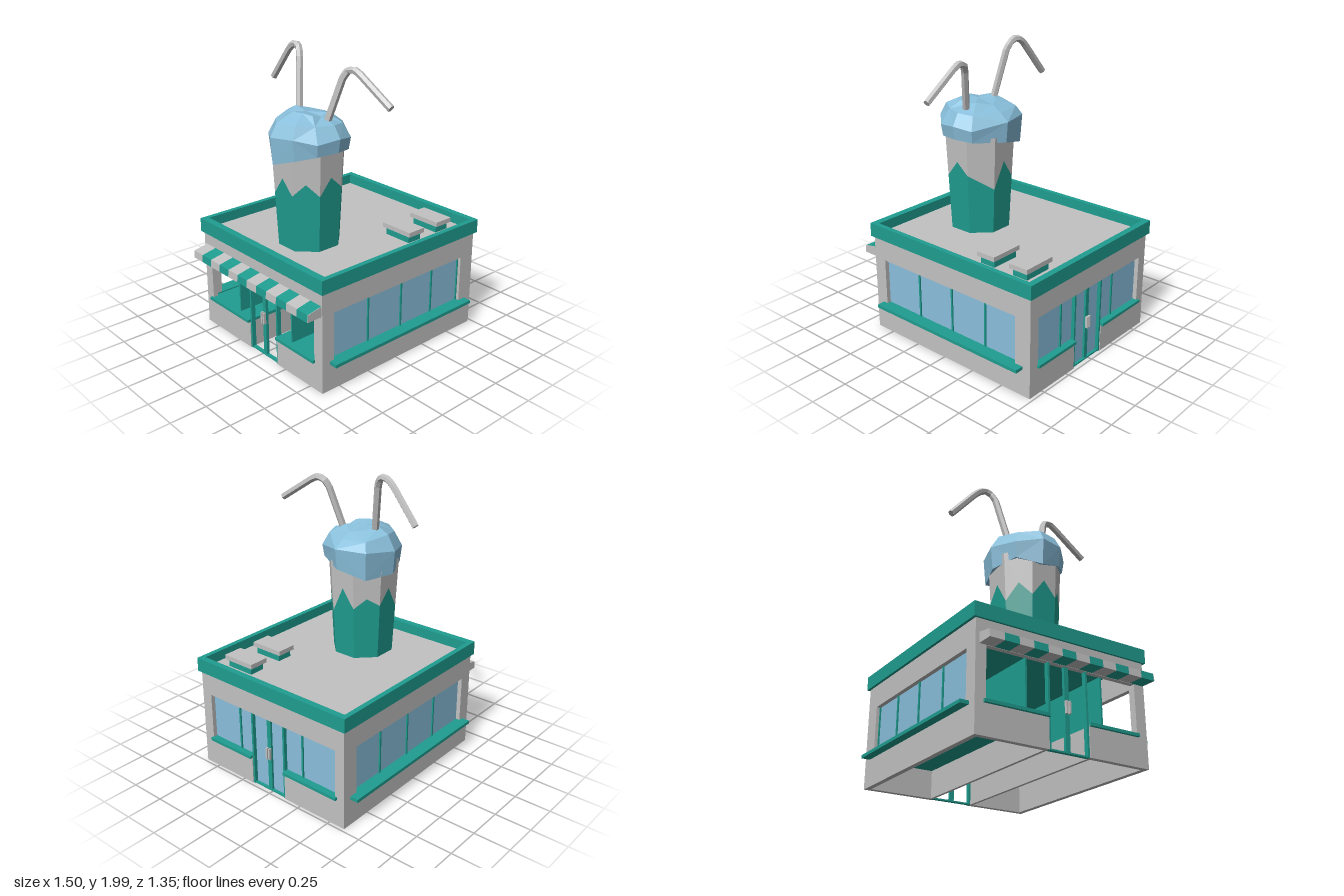
import * as THREE from 'three';

const mat = (name, color) => new THREE.MeshStandardMaterial({ name, color });

export function createModel() {
  const root = new THREE.Group();
  root.name = 'drinkStand';
  const grey = mat('grey', 0xc2c2c2);
  const teal = mat('teal', 0x1f9d90);
  const blue = mat('blue', 0x8ac0dc);
  for (const m of [grey, teal, blue]) m.flatShading = true;

  const add = (name, geo, material) => {
    const mesh = new THREE.Mesh(geo, material);
    mesh.name = name;
    root.add(mesh);
    return mesh;
  };
  // Box given by its limits on each axis
  const box = (name, material, x0, x1, y0, y1, z0, z1) => {
    const m = add(name, new THREE.BoxGeometry(x1 - x0, y1 - y0, z1 - z0), material);
    m.position.set((x0 + x1) / 2, (y0 + y1) / 2, (z0 + z1) / 2);
  };
  const shapeOf = (pts) => new THREE.Shape(pts.map(([x, y]) => new THREE.Vector2(x, y)));
  const extrude = (shape, depth) => new THREE.ExtrudeGeometry(shape, { depth, bevelEnabled: false });
  // Faceted skin over rings of points, lowest ring first, clockwise from above
  const loft = (rings) => {
    const p = [];
    for (let r = 0; r < rings.length - 1; r++) {
      const lo = rings[r], up = rings[r + 1], n = lo.length;
      for (let i = 0; i < n; i++) {
        const j = (i + 1) % n;
        if ((i + r) % 2) p.push(...lo[j], ...lo[i], ...up[i], ...lo[j], ...up[i], ...up[j]);
        else p.push(...lo[j], ...lo[i], ...up[j], ...lo[i], ...up[i], ...up[j]);
      }
    }
    const g = new THREE.BufferGeometry();
    g.setAttribute('position', new THREE.Float32BufferAttribute(p, 3));
    g.computeVertexNormals();
    return g;
  };

  // Front and back walls with a long window opening
  const longWall = shapeOf([[-0.64, 0], [0.728, 0], [0.728, 0.7], [-0.64, 0.7]]);
  longWall.holes.push(shapeOf([[-0.545, 0.2], [0.61, 0.2], [0.61, 0.533], [-0.545, 0.533]]));
  for (const s of [1, -1]) {
    const side = s > 0 ? 'front' : 'back';
    add(side + 'Wall', extrude(longWall, 0.035), grey).position.z = s > 0 ? 0.582 : -0.617;
    const glass = add(side + 'Glass', new THREE.PlaneGeometry(1.155, 0.335), blue);
    glass.position.set(0.0325, 0.3665, s * 0.587);
    if (s < 0) glass.rotation.y = Math.PI;
    for (const x of [-0.238, 0.057, 0.344, 0.607]) {
      box(side + 'Mullion', teal, x - 0.006, x + 0.006, 0.2, 0.533, s * 0.589 - 0.007, s * 0.589 + 0.007);
    }
    const z = [s * 0.58, s * 0.675].sort((a, b) => a - b);
    box(side + 'Ledge', teal, -0.58, 0.668, 0.185, 0.207, z[0], z[1]);
  }

  // Side walls with a doorway joined to the windows beside it
  const sideWall = shapeOf([[-0.582, 0], [-0.17, 0], [-0.17, 0.2], [-0.54, 0.2], [-0.54, 0.533], [0.545, 0.533],
    [0.545, 0.2], [0.12, 0.2], [0.12, 0], [0.582, 0], [0.582, 0.7], [-0.582, 0.7]]);
  const sideGlass = shapeOf([[-0.17, 0], [0.12, 0], [0.12, 0.2], [0.545, 0.2], [0.545, 0.533],
    [-0.54, 0.533], [-0.54, 0.2], [-0.17, 0.2]]);
  for (const s of [1, -1]) {
    const side = s > 0 ? 'left' : 'right';
    const face = s > 0 ? 0.728 : -0.64;
    const wall = add(side + 'Wall', extrude(sideWall, 0.035), grey);
    wall.rotation.y = Math.PI / 2;
    wall.position.x = s > 0 ? 0.693 : -0.64;
    // Bar whose depth runs from a to b outward of the wall face
    const bar = (name, m, a, b, y0, y1, z0, z1) =>
      box(side + name, m, Math.min(face + s * a, face + s * b), Math.max(face + s * a, face + s * b), y0, y1, z0, z1);
    for (const z of [0.163, -0.113]) bar('DoorPost', teal, -0.035, -0.005, 0, 0.533, z - 0.007, z + 0.007);
    bar('DoorCentre', teal, -0.035, -0.015, 0, 0.533, 0.006, 0.038);
    bar('DoorSill', teal, -0.035, -0.01, 0, 0.01, -0.12, 0.17);
    for (const z of [0.011, 0.033]) bar('DoorHandle', grey, -0.015, 0.004, 0.24, 0.32, z - 0.006, z + 0.006);
  }
  const glass = add('leftGlass', new THREE.ShapeGeometry(sideGlass), blue);
  glass.rotation.y = Math.PI / 2;
  glass.position.x = 0.698;

  // Sills, low passage walls and window dividers running right through the building
  for (const [z0, z1] of [[0.17, 0.547], [-0.562, -0.12]]) box('throughSill', teal, -0.658, 0.746, 0.19, 0.21, z0, z1);
  for (const z of [0.17, -0.14]) box('passageWall', grey, -0.61, 0.695, 0, 0.19, z, z + 0.02);
  for (const z of [0.29, -0.26]) box('throughMullion', teal, -0.615, 0.708, 0.2, 0.533, z - 0.006, z + 0.006);

  // Roof, ceiling and parapet
  box('roof', grey, -0.63, 0.715, 0.7, 0.715, -0.605, 0.605);
  box('ceiling', teal, -0.605, 0.69, 0.69, 0.7, -0.58, 0.58);
  const parapet = shapeOf([[-0.655, -0.635], [0.745, -0.635], [0.745, 0.635], [-0.655, 0.635]]);
  parapet.holes.push(shapeOf([[-0.605, -0.6], [0.702, -0.6], [0.702, 0.6], [-0.605, 0.6]]));
  const rim = add('parapet', extrude(parapet, 0.095), teal);
  rim.rotation.x = -Math.PI / 2;
  rim.position.y = 0.69;

  // Roof vents
  for (const x of [0.277, 0.54]) {
    box('ventBase', teal, x - 0.055, x + 0.055, 0.715, 0.77, 0.285, 0.49);
    box('ventCover', grey, x - 0.07, x + 0.07, 0.765, 0.797, 0.265, 0.51);
  }

  // Striped awning
  const awning = shapeOf([[-0.64, 0.605], [-0.745, 0.585], [-0.75, 0.535], [-0.64, 0.535]]);
  for (let i = 0; i < 12; i++) {
    add('awningStripe', extrude(awning, 0.1), i % 2 ? teal : grey).position.z = -0.592 + i * 0.1;
  }
  add('awningEnd', extrude(awning, 0.004), grey).position.z = 0.608;

  // Eight-sided cup with a zigzag colour break
  const zig = [1.21, 1.03, 1.08, 1.13, 1.21, 1.1, 1.18, 1.1, 1.2, 1.08, 1.17, 1.05, 1.2, 1.1, 1.15, 1.08];
  const cupRing = (yAt) => zig.map((_, k) => {
    const a = k * Math.PI / 8, y = yAt(k);
    const r = (0.21 + (y - 0.715) * 0.052) * (k % 2 ? 1 : Math.cos(Math.PI / 8));
    return [-0.225 + r * Math.cos(a), y, 0.01 + r * Math.sin(a)];
  });
  const zigRing = cupRing((k) => zig[k]);
  add('cupLower', loft([cupRing(() => 0.71), zigRing]), teal);
  add('cupUpper', loft([zigRing, cupRing(() => 1.39)]), grey);

  // Lumpy topping
  const outline = [[-0.5, -0.03], [-0.4, -0.18], [-0.22, -0.255], [-0.01, -0.18], [0.045, 0.03],
    [-0.075, 0.245], [-0.2, 0.285], [-0.35, 0.245], [-0.455, 0.14]];
  const cx = -0.225, cz = 0.01;
  const blobRing = (scale, wobble, ys) => outline.map(([x, z], i) => {
    const f = scale * (1 + wobble * Math.sin(i * 2.4 + scale * 9));
    return [cx + (x - cx) * f, ys[i], cz + (z - cz) * f];
  });
  const point = (x, y, z) => outline.map(() => [x, y, z]);
  add('topping', loft([
    point(cx, 1.39, cz),
    blobRing(0.95, 0, [1.29, 1.34, 1.31, 1.3, 1.35, 1.37, 1.38, 1.37, 1.34]),
    blobRing(1, 0, [1.47, 1.45, 1.47, 1.49, 1.49, 1.45, 1.47, 1.45, 1.48]),
    blobRing(0.8, 0.06, [1.555, 1.55, 1.57, 1.55, 1.54, 1.54, 1.55, 1.55, 1.56]),
    blobRing(0.44, 0.12, [1.61, 1.59, 1.61, 1.59, 1.58, 1.6, 1.585, 1.6, 1.61]),
    point(-0.24, 1.6, 0),
  ]), blue);

  // Bent straws, hexagonal in section
  const straw = (name, pts) => {
    const v = pts.map((p) => new THREE.Vector3(...p));
    const path = new THREE.CurvePath();
    for (let i = 0; i < v.length - 1; i++) path.add(new THREE.LineCurve3(v[i], v[i + 1]));
    add(name, new THREE.TubeGeometry(path, 28, 0.024, 6, false), grey);
    const end = add(name + 'End', new THREE.CircleGeometry(0.024, 6), grey);
    end.position.copy(v.at(-1));
    end.lookAt(v.at(-1).clone().multiplyScalar(2).sub(v.at(-2)));
  };
  straw('frontStraw', [[-0.21, 1.5, 0.147], [-0.135, 1.84, 0.235], [-0.12, 1.88, 0.26], [-0.115, 1.897, 0.305],
    [-0.11, 1.88, 0.35], [-0.095, 1.712, 0.61]]);
  straw('backStraw', [[-0.215, 1.5, -0.09], [-0.14, 1.91, -0.17], [-0.125, 1.957, -0.195], [-0.117, 1.977, -0.235],
    [-0.113, 1.962, -0.275], [-0.11, 1.927, -0.315], [-0.1, 1.712, -0.495]]);

  return root;
}
